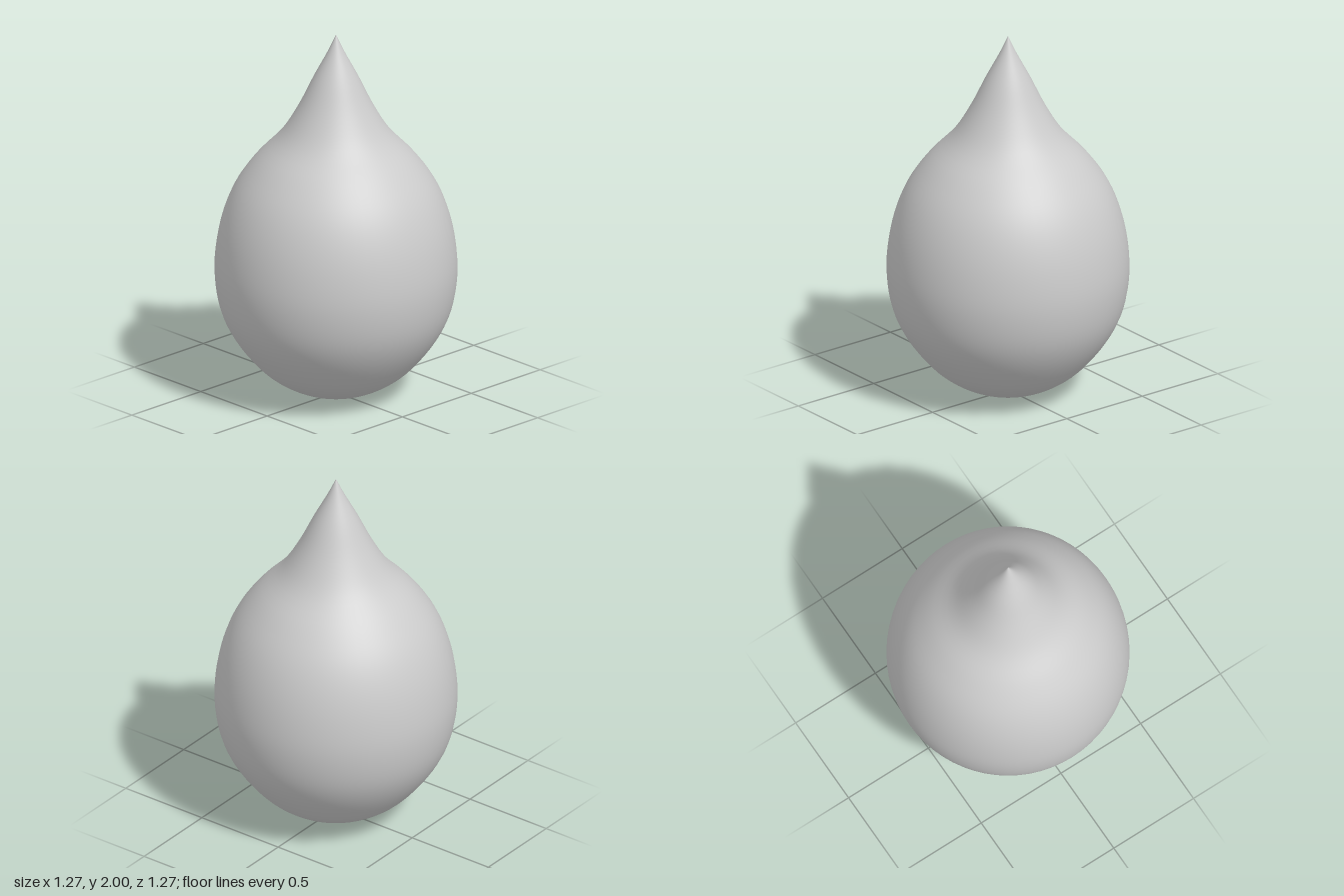
import * as THREE from 'three';

export function createModel() {
  const group = new THREE.Group();
  group.name = 'teardrop';

  // Half profile from the rounded base up to the pointed tip: radius, height
  const profile = new THREE.SplineCurve([
    [0, 0], [0.11, 0.011], [0.22, 0.046], [0.33, 0.107], [0.43, 0.195],
    [0.54, 0.34], [0.607, 0.49], [0.635, 0.67], [0.624, 0.85], [0.585, 1.02],
    [0.52, 1.17], [0.42, 1.31], [0.29, 1.45], [0.198, 1.6],
    [0.118, 1.765], [0.047, 1.9], [0, 2],
  ].map(([r, y]) => new THREE.Vector2(r, y)));

  const points = profile.getPoints(64);
  points.forEach((p) => { p.x = Math.max(p.x, 0); p.y = Math.max(p.y, 0); });

  const drop = new THREE.Mesh(
    new THREE.LatheGeometry(points, 64),
    new THREE.MeshStandardMaterial({ color: 0xcccccc }),
  );
  drop.name = 'dropBody';
  group.add(drop);
  return group;
}
